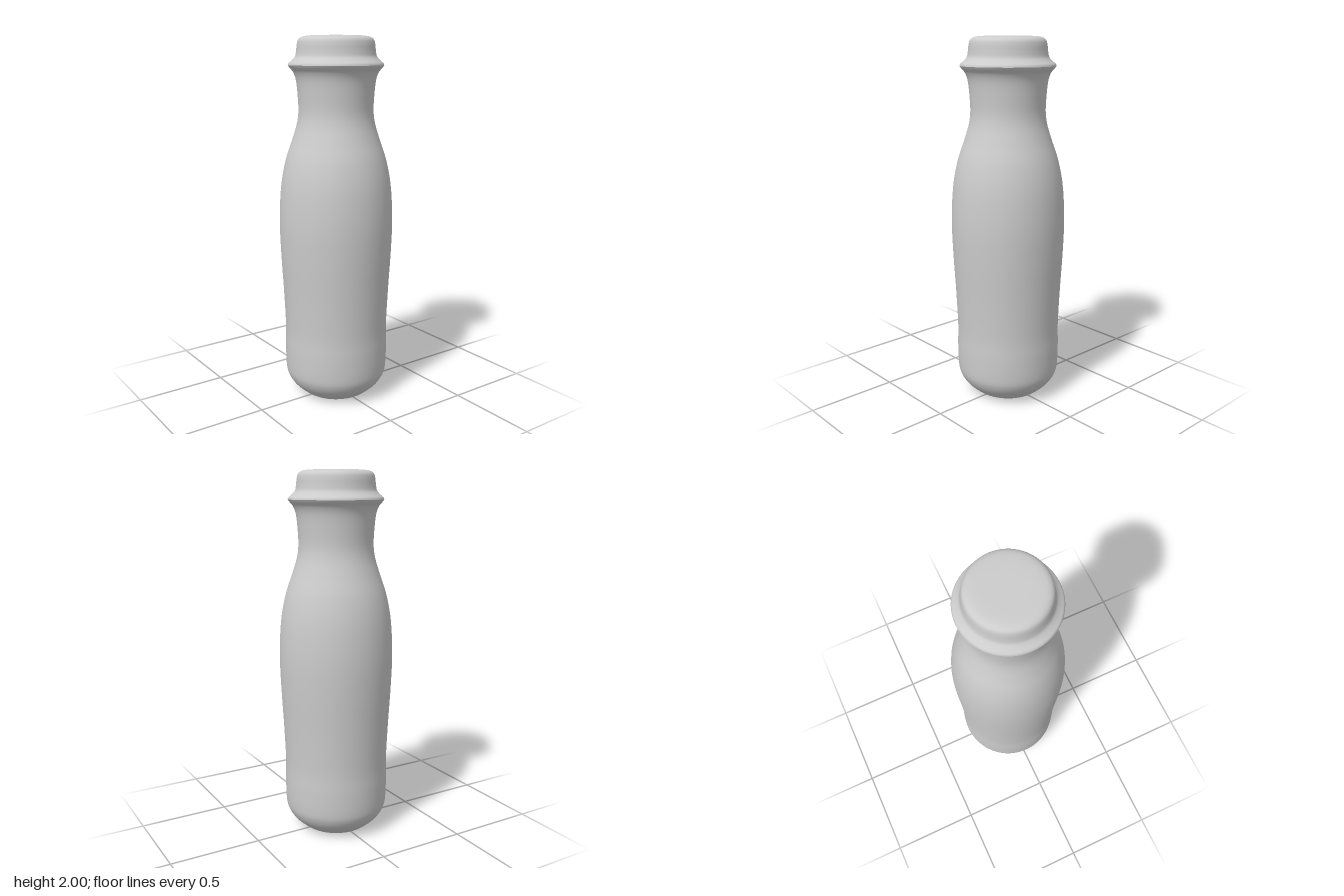
import * as THREE from 'three';

const material = new THREE.MeshStandardMaterial({ color: 0xcccccc });

// Smooth outline through [radius, height] points
const outline = (points, samples) =>
  new THREE.SplineCurve(points.map(([r, y]) => new THREE.Vector2(r, y))).getPoints(samples);

function lathe(name, profile) {
  const mesh = new THREE.Mesh(new THREE.LatheGeometry(profile, 64), material);
  mesh.name = name;
  return mesh;
}

export function createModel() {
  const group = new THREE.Group();
  group.name = 'bottle';

  // Flat base disc
  const base = new THREE.Mesh(new THREE.CircleGeometry(0.165, 64), material);
  base.name = 'base';
  base.rotation.x = Math.PI / 2;
  group.add(base);

  // Rounded foot, slightly waisted body, shoulder and neck
  group.add(lathe('body', outline([
    [0.165, 0], [0.195, 0.018], [0.247, 0.065], [0.277, 0.115], [0.287, 0.17],
    [0.289, 0.28], [0.287, 0.4], [0.295, 0.6], [0.306, 0.8], [0.312, 0.97],
    [0.309, 1.1], [0.297, 1.23], [0.272, 1.35], [0.235, 1.46], [0.211, 1.54],
    [0.202, 1.61], [0.206, 1.7], [0.214, 1.77], [0.228, 1.81], [0.247, 1.833],
    [0.256, 1.846],
  ], 120)));

  // Cap: flared lip, rounded shoulder and flat top
  const cap = outline([
    [0.256, 1.846], [0.251, 1.858], [0.233, 1.873], [0.217, 1.892], [0.211, 1.92],
    [0.207, 1.955], [0.2, 1.978], [0.182, 1.992], [0.15, 1.998], [0.1, 2],
  ], 50);
  cap.push(new THREE.Vector2(0, 2));
  group.add(lathe('cap', cap));

  return group;
}
